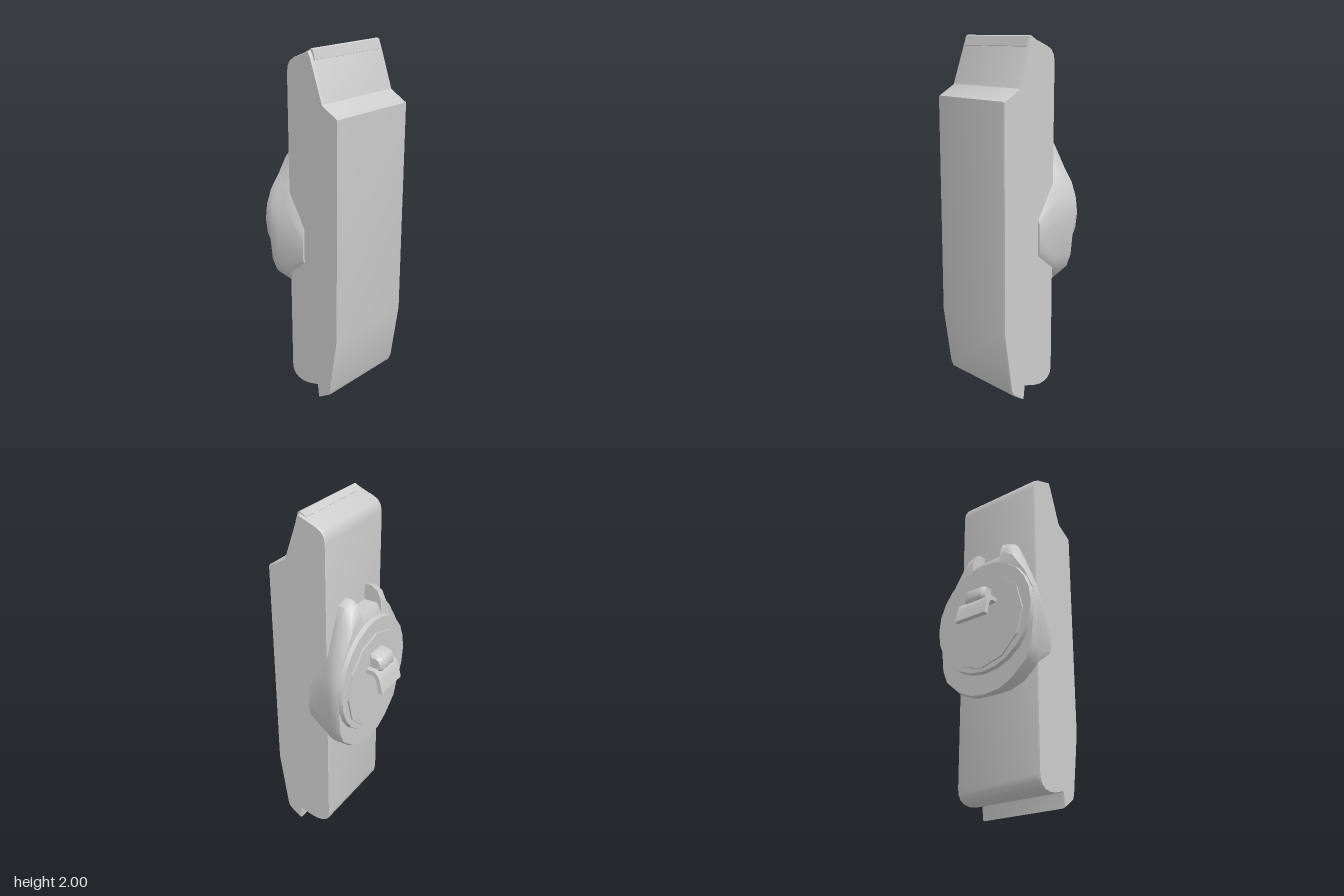
import * as THREE from 'three';
import { toCreasedNormals } from 'three/addons/utils/BufferGeometryUtils.js';

const material = new THREE.MeshStandardMaterial({ color: 0xcccccc });

function part(name, geometry, crease = 0.55) {
  const mesh = new THREE.Mesh(toCreasedNormals(geometry, crease), material);
  mesh.name = name;
  return mesh;
}

// Side profile of [z, y] points, extruded across x with a small chamfer
function profile(points, halfWidth, bevel = 0, chamfer = bevel) {
  const shape = new THREE.Shape(points.map(([z, y]) => new THREE.Vector2(z, y)));
  const depth = 2 * (halfWidth - chamfer);
  const geometry = new THREE.ExtrudeGeometry(shape, {
    depth, bevelEnabled: bevel > 0, bevelSize: bevel, bevelOffset: -bevel,
    bevelThickness: chamfer, bevelSegments: 1,
  });
  return geometry.translate(0, 0, -depth / 2).rotateY(-Math.PI / 2);
}

// Skin over mirrored half outlines (bottom to top), stacked towards -z
function loft(layers) {
  const rings = layers.map(({ half }) => [
    ...half, ...half.slice(1, -1).reverse().map(([x, y]) => [-x, y]),
  ]);
  const n = rings[0].length;
  const positions = [], index = [];
  rings.forEach((ring, l) => ring.forEach(([x, y]) => positions.push(x, y, layers[l].z)));
  for (let l = 0; l < rings.length - 1; l++) {
    for (let i = 0; i < n; i++) {
      const a = l * n + i, b = l * n + (i + 1) % n;
      index.push(a, a + n, b, b, a + n, b + n);
    }
  }
  const cap = (l, flip) => {
    const contour = rings[l].map(([x, y]) => new THREE.Vector2(x, y));
    for (const [a, b, c] of THREE.ShapeUtils.triangulateShape(contour, [])) {
      const o = l * n;
      index.push(o + a, o + (flip ? c : b), o + (flip ? b : c));
    }
  };
  cap(0, false);
  cap(rings.length - 1, true);
  const geometry = new THREE.BufferGeometry();
  geometry.setAttribute('position', new THREE.Float32BufferAttribute(positions, 3));
  geometry.setIndex(index);
  return geometry;
}

// Round plate facing the back
function disc(backRadius, frontRadius, zFront, zBack, y, sides) {
  return new THREE.CylinderGeometry(frontRadius, backRadius, zFront - zBack, sides)
    .rotateX(Math.PI / 2).translate(0, y, (zFront + zBack) / 2);
}

export function createModel() {
  const model = new THREE.Group();
  model.name = 'clipOnCase';

  // Long case with a stepped top, sloped foot and rounded back edges
  model.add(part('caseBody', profile([
    [0.30, 1.675], [0.30, 0.43], [0.25, 0.085], [0.238, 0.055], [0.215, 0.038],
    [0.155, 0], [0.145, 0.082], [0.08, 0.062], [0.03, 0.056], [-0.01, 0.063],
    [-0.038, 0.08], [-0.054, 0.105], [-0.06, 0.14], [-0.06, 1.87], [-0.053, 1.905],
    [-0.037, 1.93], [-0.01, 1.947], [0.10, 1.99], [0.117, 1.955], [0.195, 1.735],
  ], 0.273, 0.005, 0.012)));

  // Raised strip along the top edge
  model.add(part('topStrip', profile([
    [0.062, 1.978], [0.10, 2.0], [0.112, 1.995], [0.128, 1.945], [0.113, 1.94], [0.08, 1.96],
  ], 0.255), 0.3));

  // Holder gripping the case, with side wings and two horns around a slot
  const holder = new THREE.Group();
  holder.name = 'holder';
  holder.add(part('holderShell', loft([
    { z: 0.055, half: [[0, 0.82], [0.1, 0.82], [0.2, 0.82], [0.27, 0.82], [0.285, 0.85],
      [0.285, 0.94], [0.285, 1.0], [0.27, 1.03], [0.2, 1.035], [0.15, 1.04], [0.1, 1.04],
      [0.1, 1.02], [0, 1.02]] },
    { z: -0.055, half: [[0, 0.62], [0.1, 0.625], [0.18, 0.65], [0.265, 0.72], [0.295, 0.79],
      [0.315, 1.0], [0.305, 1.12], [0.265, 1.24], [0.2, 1.4], [0.16, 1.49], [0.1, 1.51],
      [0.1, 1.42], [0, 1.42]] },
    { z: -0.1, half: [[0, 0.6], [0.1, 0.605], [0.18, 0.64], [0.275, 0.71], [0.308, 0.8],
      [0.33, 1.02], [0.32, 1.13], [0.27, 1.26], [0.21, 1.4], [0.165, 1.49], [0.1, 1.515],
      [0.1, 1.42], [0, 1.42]] },
    { z: -0.14, half: [[0, 0.585], [0.1, 0.595], [0.19, 0.635], [0.285, 0.72], [0.318, 0.8],
      [0.34, 1.04], [0.33, 1.14], [0.27, 1.26], [0.2, 1.39], [0.155, 1.47], [0.1, 1.49],
      [0.1, 1.42], [0, 1.42]] },
    { z: -0.165, half: [[0, 0.59], [0.1, 0.6], [0.18, 0.64], [0.28, 0.725], [0.31, 0.8],
      [0.335, 1.04], [0.325, 1.14], [0.27, 1.26], [0.19, 1.38], [0.14, 1.42], [0.1, 1.43],
      [0.1, 1.37], [0, 1.37]] },
  ]), 0.7));
  holder.add(part('roundPlate', disc(0.33, 0.338, -0.15, -0.19, 1.04, 24)));
  holder.add(part('thinDisc', disc(0.28, 0.28, -0.188, -0.2, 1.01, 12), 0.2));
  model.add(holder);

  // Small release catch: curved flap under a rounded knob
  const catchGroup = new THREE.Group();
  catchGroup.name = 'catch';
  catchGroup.add(part('catchFlap', profile([
    [-0.195, 1.12], [-0.25, 1.12], [-0.272, 1.1], [-0.285, 1.07], [-0.302, 0.997],
    [-0.28, 0.99], [-0.266, 1.055], [-0.255, 1.08], [-0.24, 1.093], [-0.195, 1.093],
  ], 0.105)));
  catchGroup.add(part('catchKnob', profile([
    [-0.195, 1.1], [-0.195, 1.195], [-0.24, 1.192], [-0.265, 1.18], [-0.277, 1.155],
    [-0.279, 1.12], [-0.265, 1.1],
  ], 0.072, 0.014, 0.018), 0.8));
  model.add(catchGroup);

  return model;
}
